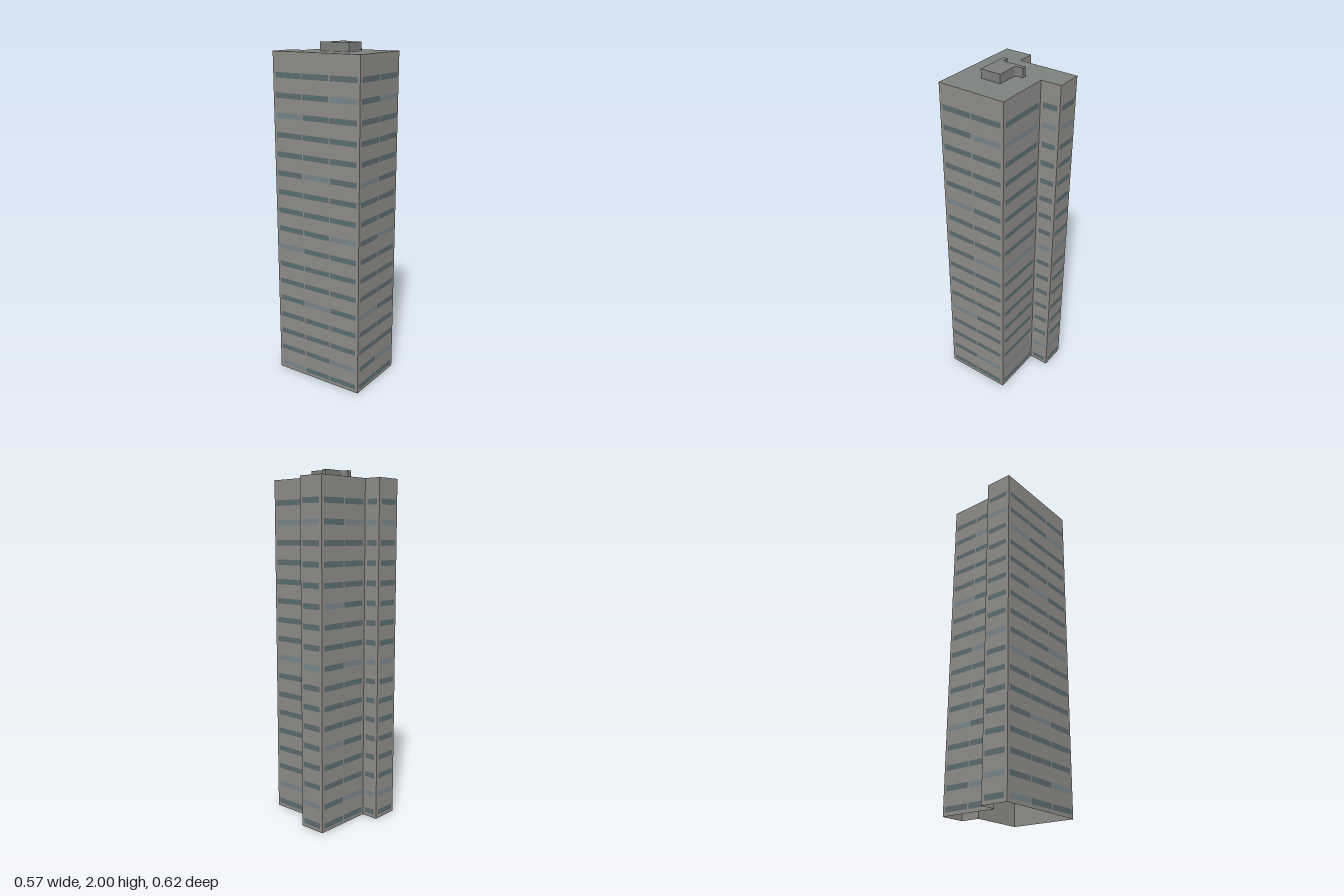
import * as THREE from 'three';

const WALL_H = 1.95, FLOORS = 17, FLOOR_STEP = 0.1116, FIRST_ROW = 0.036;
const WIN_H = 0.031, MARGIN = 0.017, GAP = 0.008;

// Footprint corners as [x, z], running anticlockwise seen from above
const FOOTPRINT = [
  [-0.285, -0.235], [-0.095, 0.309], [0.28, 0.176], [0.173, -0.125],
  [0.284, -0.165], [0.232, -0.31], [-0.1, -0.195], [-0.133, -0.289],
];

const paint = (color, side = THREE.FrontSide) =>
  new THREE.MeshStandardMaterial({ color, side, flatShading: true });

function add(parent, name, geometry, material) {
  const mesh = new THREE.Mesh(geometry, material);
  mesh.name = name;
  parent.add(mesh);
  return mesh;
}

// Roof hut outline, with two rounded inner corners
function hutShape() {
  const s = new THREE.Shape();
  s.moveTo(-0.08, 0.072);
  s.lineTo(-0.017, -0.11);
  s.lineTo(0.097, -0.07);
  s.lineTo(0.06, 0.034);
  s.quadraticCurveTo(0.054, 0.051, 0.073, 0.058);
  s.lineTo(0.098, 0.067);
  s.lineTo(0.09, 0.089);
  s.lineTo(-0.026, 0.048);
  s.quadraticCurveTo(-0.044, 0.043, -0.05, 0.06);
  s.lineTo(-0.057, 0.08);
  s.closePath();
  return s;
}

export function createModel() {
  const model = new THREE.Group();
  model.name = 'towerBlock';
  const wallMat = paint(0x8f8d89, THREE.DoubleSide);
  const roofMat = paint(0x7d827f, THREE.DoubleSide);
  const hutMat = paint(0x7d7f7d);
  const glassMat = paint(0x5c6d72);
  const paleGlassMat = paint(0x78868d);

  // One facade per footprint edge, with a band of windows on every floor
  FOOTPRINT.forEach(([x0, z0], i) => {
    const [x1, z1] = FOOTPRINT[(i + 1) % FOOTPRINT.length];
    const dx = x1 - x0, dz = z1 - z0, length = Math.hypot(dx, dz);
    const facade = new THREE.Group();
    facade.name = 'facade';
    facade.position.set((x0 + x1) / 2, 0, (z0 + z1) / 2);
    facade.rotation.y = Math.atan2(-dz, dx);
    model.add(facade);

    add(facade, 'wall', new THREE.PlaneGeometry(length, WALL_H), wallMat).position.y = WALL_H / 2;

    const count = Math.max(1, Math.floor(length / 0.17));
    const width = (length - 2 * MARGIN - (count - 1) * GAP) / count;
    const pane = new THREE.PlaneGeometry(width, WIN_H);
    for (let floor = 0; floor < FLOORS; floor++) {
      for (let j = 0; j < count; j++) {
        // Every seventh floor a pane is paler, staggered along the facade
        const pale = (floor + 20 - 3 * (count - 1 - j)) % 7 === 0;
        add(facade, 'window', pane, pale ? paleGlassMat : glassMat).position.set(
          -length / 2 + MARGIN + width / 2 + j * (width + GAP),
          FIRST_ROW + floor * FLOOR_STEP,
          0.0015,
        );
      }
    }
  });

  // Flat roof; the underside of the tower is open
  const outline = new THREE.Shape(FOOTPRINT.map(([x, z]) => new THREE.Vector2(x, -z)));
  const roof = add(model, 'roof', new THREE.ShapeGeometry(outline), roofMat);
  roof.rotation.x = -Math.PI / 2;
  roof.position.y = WALL_H;

  // Raised hut on the roof
  const hut = add(model, 'roofHut', new THREE.ExtrudeGeometry(hutShape(), {
    depth: 2 - WALL_H, bevelEnabled: false, curveSegments: 8,
  }), hutMat);
  hut.rotation.x = -Math.PI / 2;
  hut.position.y = WALL_H;

  return model;
}
